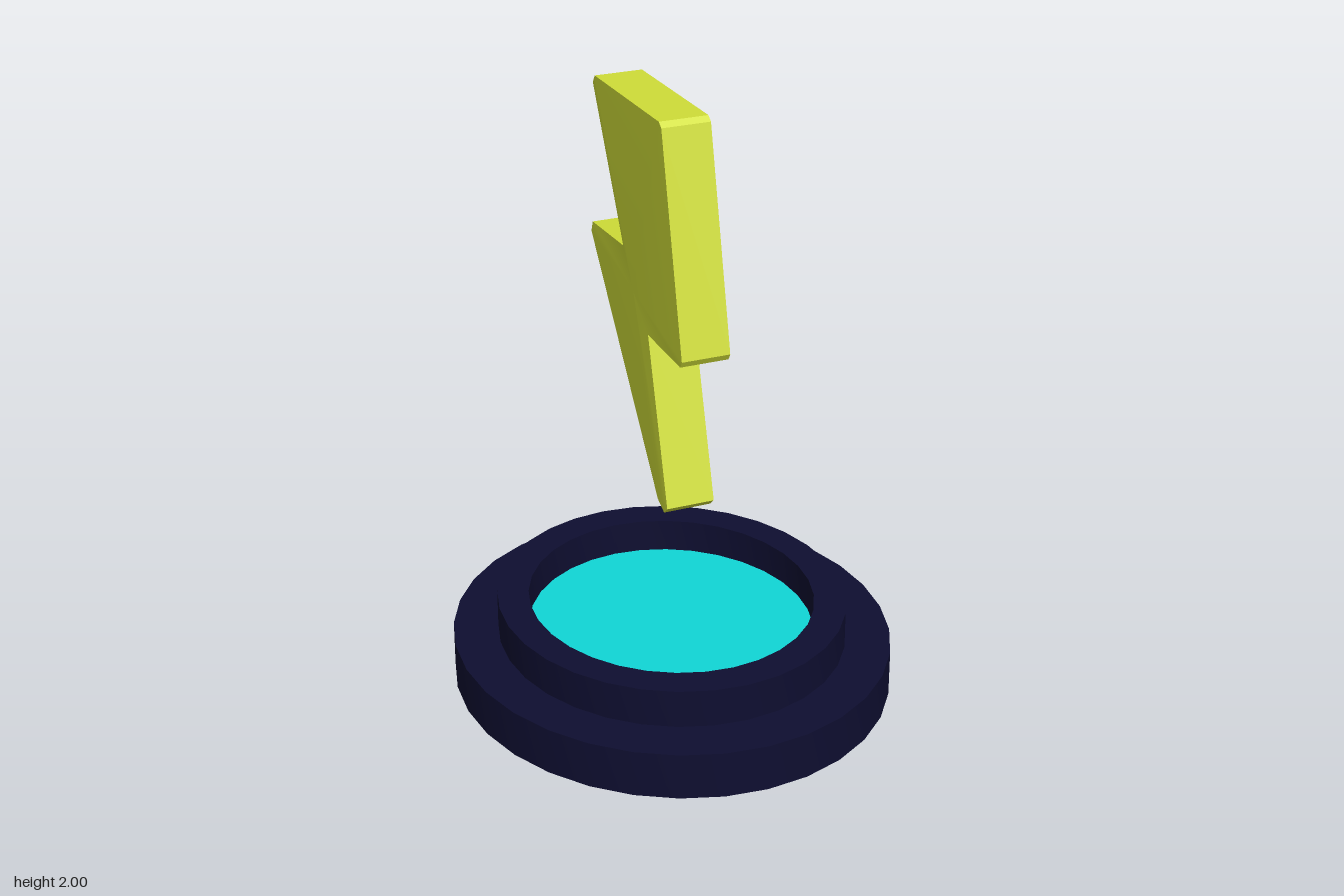
import * as THREE from 'three';
import { toCreasedNormals } from 'three/addons/utils/BufferGeometryUtils.js';

const SIDES = 32;
const STRETCH = 1.092; // the base is slightly longer front to back

function material(name, color) {
  const m = new THREE.MeshStandardMaterial({ color });
  m.name = name;
  return m;
}

// Bolt: side outline joined across x, with each flat side swelling to a centre point
function boltGeometry() {
  const outline = [ // [z, y]
    [0.12, 1.985], [0.10, 2.0], [-0.44, 1.987], [-0.457, 1.96],
    [-0.203, 1.487], [-0.477, 1.472], [-0.49, 1.435],
    [0.085, 0.705], [0.138, 0.68], [0.165, 0.705],
    [0.006, 1.257], [0.27, 1.253], [0.283, 1.275],
  ];
  const edge = 0.082, swell = 0.09;
  const centre = [-0.1, 1.37];
  const at = (x, [z, y]) => [x, y, z];
  const positions = [];
  const tri = (a, b, c) => positions.push(...a, ...b, ...c);
  outline.forEach((a, i) => {
    const b = outline[(i + 1) % outline.length];
    tri(at(swell, centre), at(edge, b), at(edge, a));
    tri(at(-swell, centre), at(-edge, a), at(-edge, b));
    tri(at(edge, a), at(edge, b), at(-edge, b));
    tri(at(edge, a), at(-edge, b), at(-edge, a));
  });
  const g = new THREE.BufferGeometry();
  g.setAttribute('position', new THREE.Float32BufferAttribute(positions, 3));
  return toCreasedNormals(g, 0.3);
}

export function createModel() {
  const navy = material('navy', 0x0e0e30);
  const cyan = material('cyan', 0x10d6d6);
  const yellow = material('yellow', 0xd0de38);
  const model = new THREE.Group();

  const add = (name, geometry, mat) => {
    const mesh = new THREE.Mesh(geometry, mat);
    mesh.name = name;
    model.add(mesh);
    return mesh;
  };

  // Stepped pedestal with a recessed centre
  const profile = [
    [0, 0], [0.73, 0], [0.73, 0.16], [0.58, 0.16],
    [0.58, 0.29], [0.475, 0.29], [0.475, 0.16],
  ].map(([r, y]) => new THREE.Vector2(r, y));
  const base = toCreasedNormals(new THREE.LatheGeometry(profile, SIDES), 0.5);
  add('pedestal', base, navy).scale.z = STRETCH;

  // Glowing plate in the recess
  const plate = add('plate', new THREE.CylinderGeometry(0.475, 0.475, 0.015, SIDES), cyan);
  plate.position.y = 0.1675;
  plate.scale.z = STRETCH;

  // Floating lightning bolt
  add('lightningBolt', boltGeometry(), yellow);

  return model;
}
